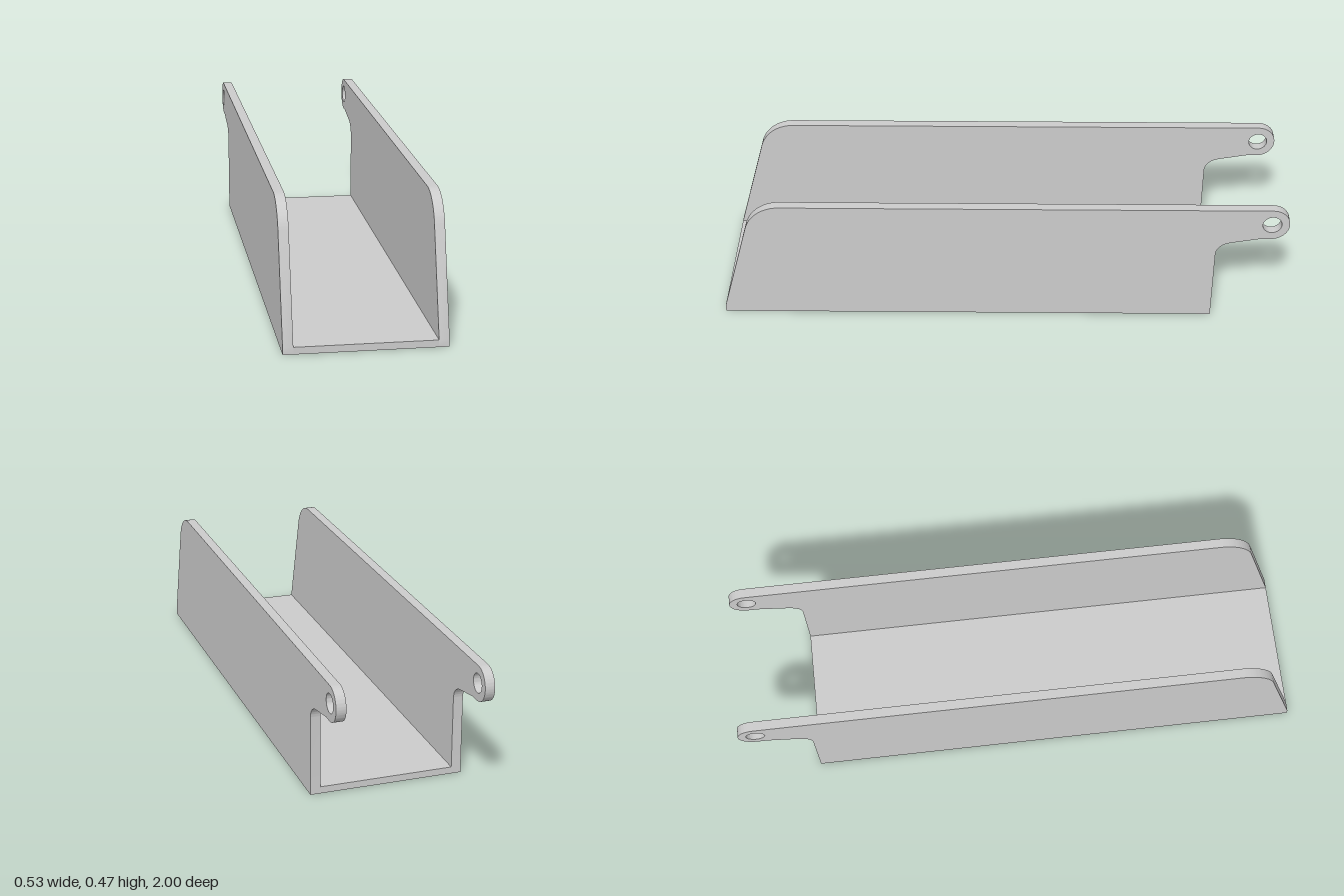
import * as THREE from 'three';
import { toCreasedNormals } from 'three/addons/utils/BufferGeometryUtils.js';

const OUTER = 0.267, WALL = 0.034, FLOOR = 0.024;
const FRONT = 1, BACK = -0.75, TOP = 0.47;

// Side plate outline, drawn with z across and y up
function plateShape() {
  const lugZ = -0.939, lugR = 0.061, lugY = TOP - lugR;
  const s = new THREE.Shape();
  s.moveTo(BACK, 0);
  s.lineTo(FRONT, 0);
  s.lineTo(FRONT, FLOOR);
  // sloped front edge, rounded into the top edge
  s.absarc(0.777, 0.343, 0.127, THREE.MathUtils.degToRad(16), Math.PI / 2, false);
  // round hinge lug at the back
  s.absarc(lugZ, lugY, lugR, Math.PI / 2, Math.PI * 1.5, false);
  s.lineTo(-0.905, TOP - 2 * lugR);
  s.lineTo(-0.8, 0.329);
  s.bezierCurveTo(-0.77, 0.322, BACK, 0.305, BACK, 0.275);
  s.closePath();
  const hole = new THREE.Path();
  hole.absarc(lugZ, lugY, 0.033, 0, Math.PI * 2, true);
  s.holes.push(hole);
  return s;
}

export function createModel() {
  const group = new THREE.Group();
  const material = new THREE.MeshStandardMaterial({ color: 0xcccccc });

  // Extruded plate turned so its thickness runs along -x from the origin
  const extruded = new THREE.ExtrudeGeometry(plateShape(), { depth: WALL, bevelEnabled: false, curveSegments: 24 });
  extruded.rotateY(-Math.PI / 2);
  const plate = toCreasedNormals(extruded, Math.PI / 7);

  // Two matching side plates
  for (const [name, x] of [['leftSidePlate', OUTER], ['rightSidePlate', WALL - OUTER]]) {
    const side = new THREE.Mesh(plate, material);
    side.name = name;
    side.position.x = x;
    group.add(side);
  }

  // Floor between the plates
  const floor = new THREE.Mesh(new THREE.BoxGeometry(2 * (OUTER - WALL), FLOOR, FRONT - BACK), material);
  floor.name = 'floor';
  floor.position.set(0, FLOOR / 2, (FRONT + BACK) / 2);
  group.add(floor);

  return group;
}
